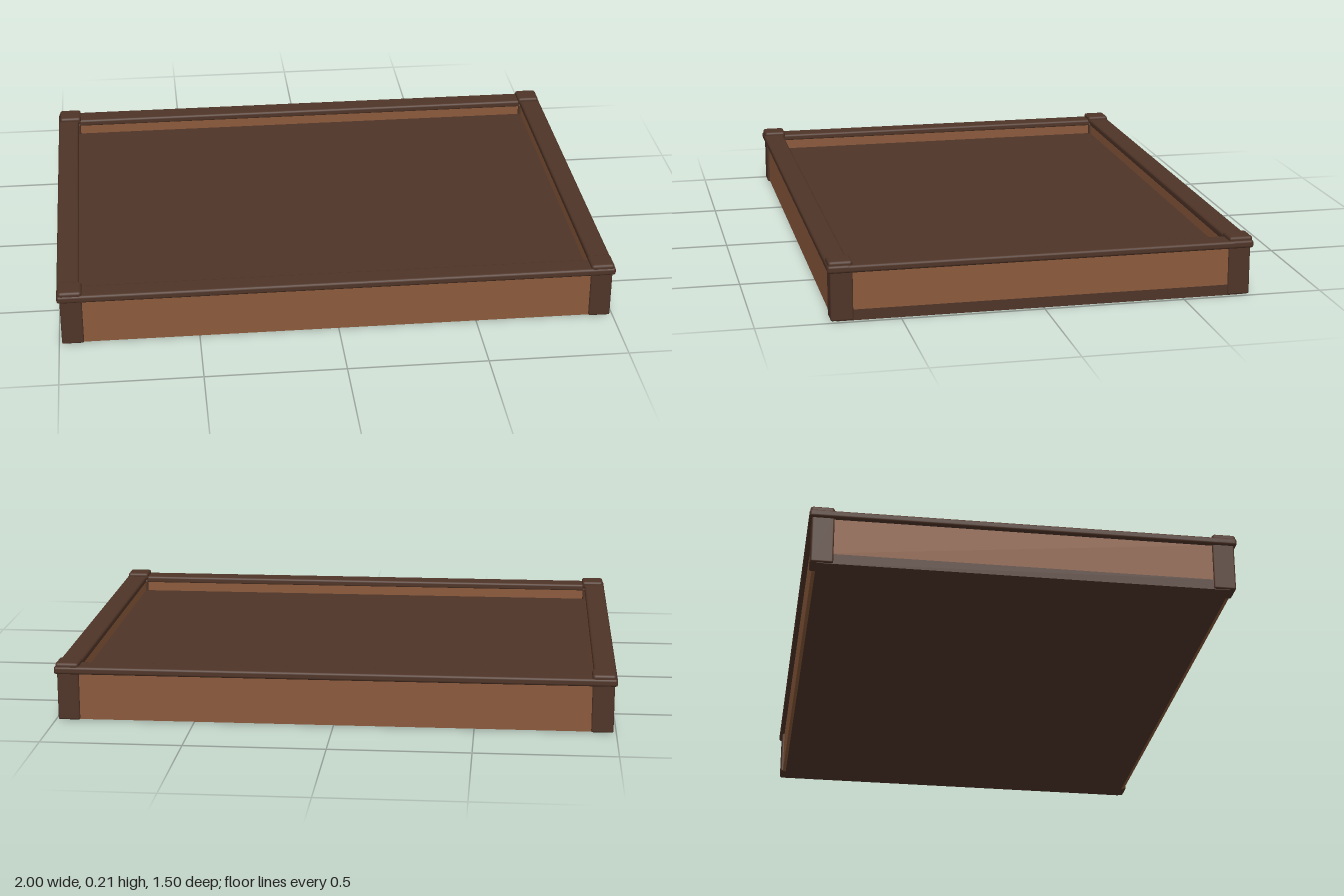
import * as THREE from 'three';
import { RoundedBoxGeometry } from 'three/addons/geometries/RoundedBoxGeometry.js';

export function createModel() {
  const group = new THREE.Group();
  const paleWood = new THREE.MeshStandardMaterial({ color: 0x8b5a3c });
  paleWood.name = 'paleWood';
  const darkWood = new THREE.MeshStandardMaterial({ color: 0x4f3427 });
  darkWood.name = 'darkWood';

  // Box given by its centre x and z, its bottom and top, and an optional edge radius
  function box(name, material, w, d, x, z, bottom, top, radius = 0) {
    const h = top - bottom;
    const geometry = radius
      ? new RoundedBoxGeometry(w, h, d, 2, radius)
      : new THREE.BoxGeometry(w, h, d);
    const mesh = new THREE.Mesh(geometry, material);
    mesh.name = name;
    mesh.position.set(x, bottom + h / 2, z);
    group.add(mesh);
  }

  // Base slab, showing along the two short sides, and the raised tray floor
  box('baseSlab', darkWood, 1.966, 1.44, 0, 0, 0, 0.038);
  box('trayFloor', darkWood, 1.86, 1.36, 0, 0, 0.038, 0.14);

  for (const s of [-1, 1]) {
    const end = s > 0 ? 'left' : 'right';
    const face = s > 0 ? 'front' : 'back';
    // Side walls
    box(face + 'Wall', paleWood, 1.9, 0.06, 0, s * 0.702, 0.003, 0.178);
    box(end + 'Wall', paleWood, 0.06, 1.4, s * 0.952, 0, 0.038, 0.178);
    // Top rails
    box(face + 'Rail', darkWood, 2, 0.08, 0, s * 0.71, 0.172, 0.2, 0.009);
    box(end + 'Rail', darkWood, 0.08, 1.48, s * 0.96, 0, 0.172, 0.199, 0.009);
    // Corner posts and caps
    for (const t of [-1, 1]) {
      box('cornerPost', darkWood, 0.078, 0.078, s * 0.951, t * 0.702, 0.002, 0.185, 0.006);
      box('cornerCap', darkWood, 0.084, 0.084, s * 0.953, t * 0.705, 0.185, 0.214, 0.01);
    }
  }
  return group;
}
